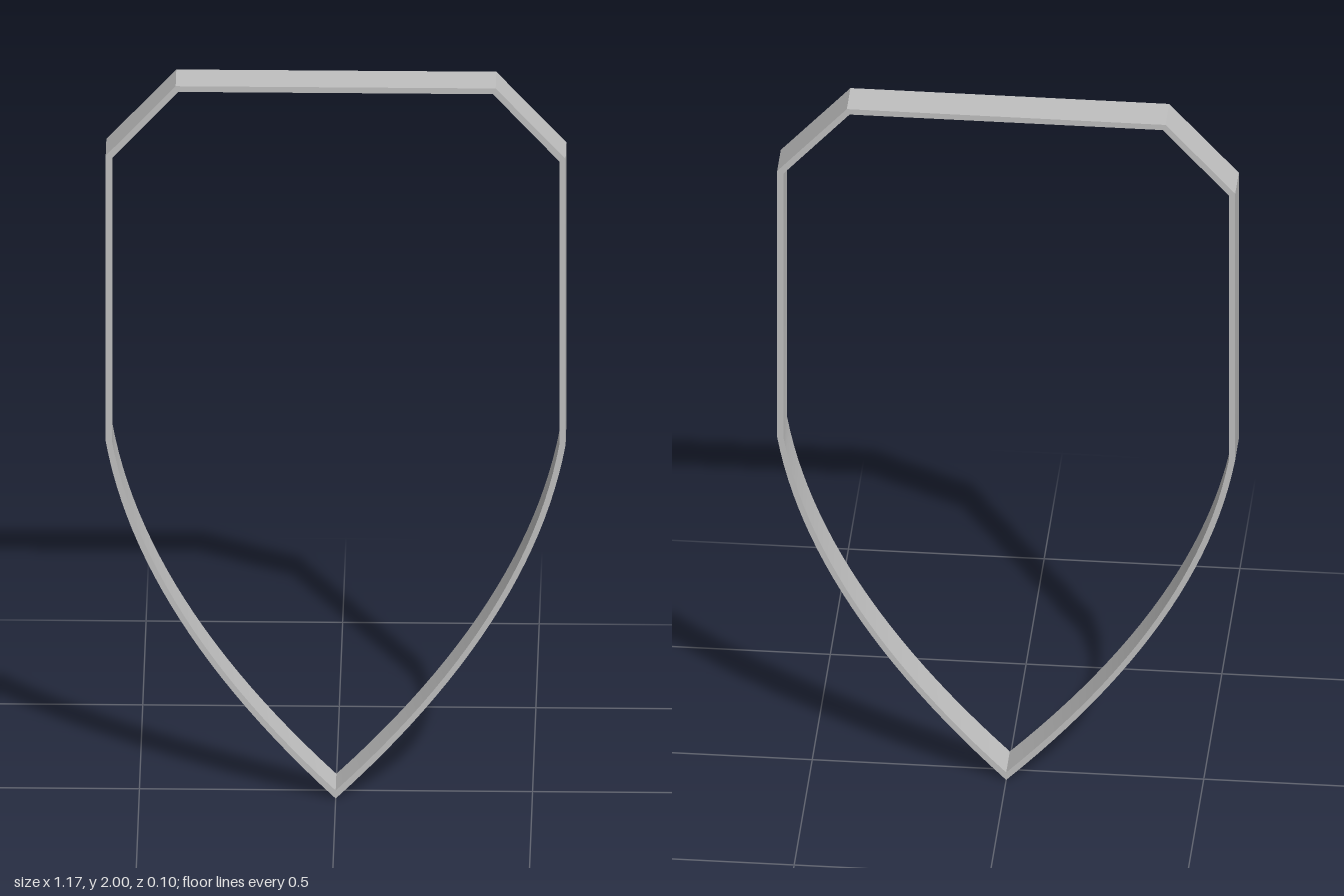
import * as THREE from 'three';
import { toCreasedNormals } from 'three/addons/utils/BufferGeometryUtils.js';

const DEPTH = 0.1;

// Heater-shield outline: flat top, chamfered shoulders, straight sides, curved point
function outline(path, { topX, topY, sideX, shoulderY, ctrlX, ctrlY, tipY }) {
  path.moveTo(0, tipY);
  path.quadraticCurveTo(ctrlX, ctrlY, sideX, 1);
  path.lineTo(sideX, shoulderY);
  path.lineTo(topX, topY);
  path.lineTo(-topX, topY);
  path.lineTo(-sideX, shoulderY);
  path.lineTo(-sideX, 1);
  path.quadraticCurveTo(-ctrlX, ctrlY, 0, tipY);
  return path;
}

export function createModel() {
  const group = new THREE.Group();
  group.name = 'shieldFrame';
  const steel = new THREE.MeshStandardMaterial({ color: 0xc0c0c0 });
  steel.name = 'light grey steel';

  // Outer edge with the opening cut out
  const shape = outline(new THREE.Shape(), {
    topX: 0.407, topY: 2, sideX: 0.585, shoulderY: 1.803, ctrlX: 0.5, ctrlY: 0.5, tipY: 0,
  });
  shape.holes.push(outline(new THREE.Path(), {
    topX: 0.4, topY: 1.984, sideX: 0.569, shoulderY: 1.796, ctrlX: 0.485, ctrlY: 0.507, tipY: 0.0226,
  }));

  // Thin band, smooth along the curves and sharp at the corners
  const band = new THREE.ExtrudeGeometry(shape, { depth: DEPTH, bevelEnabled: false, curveSegments: 24 });
  band.translate(0, 0, -DEPTH / 2);
  const rim = new THREE.Mesh(toCreasedNormals(band, 0.35), steel);
  rim.name = 'rim';
  group.add(rim);
  return group;
}
